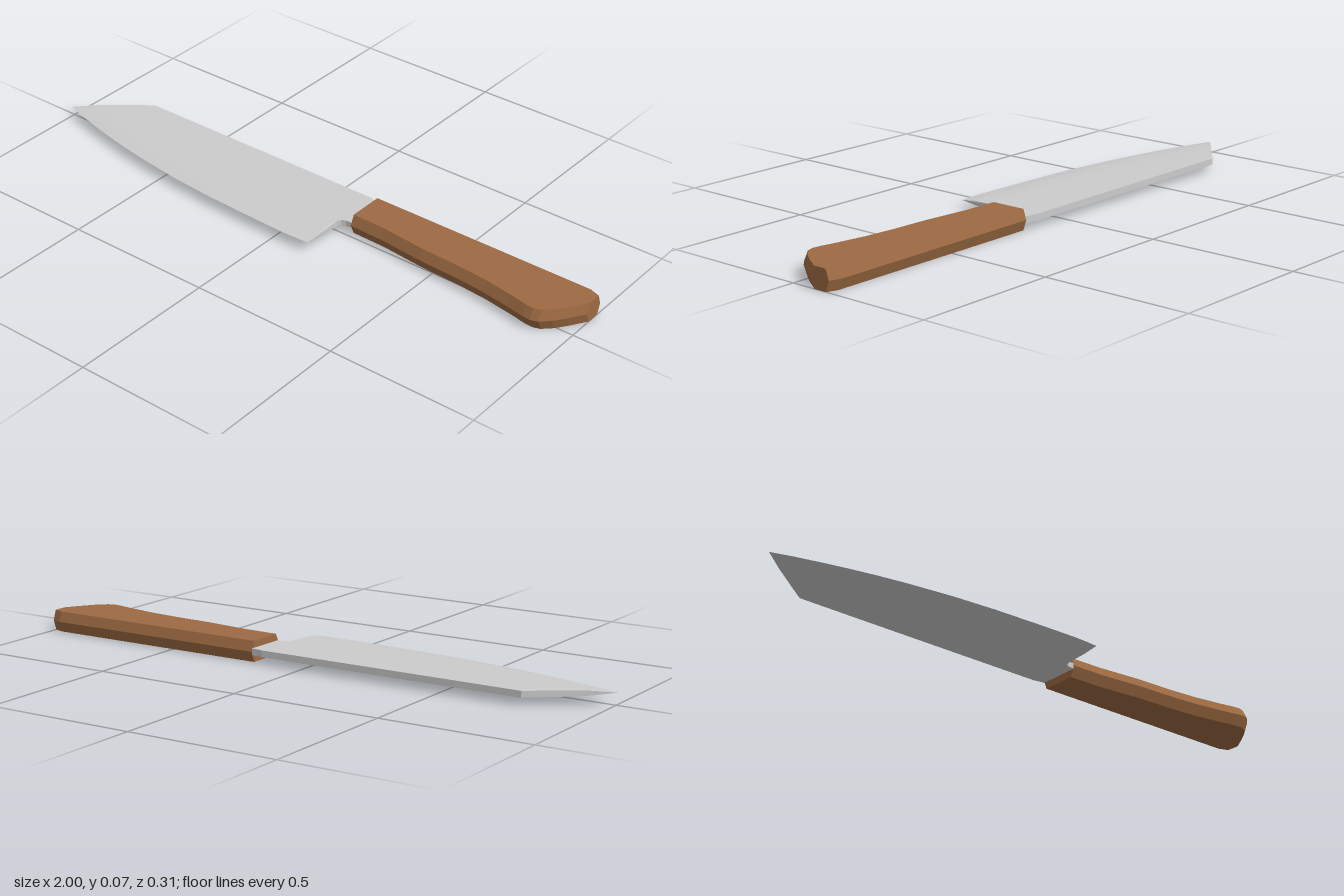
import * as THREE from 'three';

const MID = 0.035; // height of the blade plane and of the handle ridge

// Skins a row of equal-length cross-sections (each a list of [x, y, z]) and caps both ends.
function loft(name, sections, color) {
  const n = sections[0].length;
  const index = [];
  for (let i = 0; i < sections.length - 1; i++) {
    for (let j = 0; j < n; j++) {
      const k = (j + 1) % n;
      const a = i * n + j, b = i * n + k, c = a + n, d = b + n;
      index.push(a, b, d, a, d, c);
    }
  }
  const last = (sections.length - 1) * n;
  for (let j = 1; j < n - 1; j++) {
    index.push(0, j + 1, j, last, last + j, last + j + 1);
  }
  const indexed = new THREE.BufferGeometry();
  indexed.setAttribute('position', new THREE.Float32BufferAttribute(sections.flat(2), 3));
  indexed.setIndex(index);
  const geometry = indexed.toNonIndexed();
  geometry.computeVertexNormals();
  const mesh = new THREE.Mesh(geometry, new THREE.MeshStandardMaterial({ color, flatShading: true }));
  mesh.name = name;
  return mesh;
}

// Half thickness of the blade at a distance from its cutting edge.
function halfThickness(distance) {
  const profile = [[0, 0], [0.05, 0.007], [0.1, 0.0092], [0.32, 0.011]];
  for (let i = 1; i < profile.length; i++) {
    const [d0, h0] = profile[i - 1], [d1, h1] = profile[i];
    if (distance <= d1) return THREE.MathUtils.mapLinear(distance, d0, d1, h0, h1);
  }
  return 0.011;
}

function createBlade() {
  // x, spine z, cutting edge z, and where the steel stops (behind the heel)
  const stations = [
    [-1, 0.011, 0.011], [-0.93, -0.042, 0.033], [-0.85, -0.103, 0.054], [-0.775, -0.16, 0.072],
    [-0.68, -0.16, 0.092], [-0.58, -0.16, 0.109], [-0.42, -0.16, 0.13], [-0.27, -0.16, 0.142],
    [-0.1, -0.16, 0.149], [0.04, -0.16, 0.153], [0.1, -0.16, 0.151], [0.135, -0.16, 0.148],
    [0.14, -0.16, 0.148, 0.008], [0.147, -0.158, 0.148, -0.003], [0.16, -0.156, 0.148, -0.009],
    [0.18, -0.154, 0.148, -0.01], [0.19, -0.14, 0.148, -0.02], [0.26, -0.14, 0.148, -0.02],
  ];
  const rows = [0, 0.4, 0.65, 0.82, 0.93, 1];
  return loft('blade', stations.map(([x, spine, edge, stop = edge]) => {
    const side = (sign) => rows.map((s) => {
      const z = THREE.MathUtils.lerp(spine, stop, s);
      return [x, MID + sign * halfThickness(Math.max(0, edge - z)), z];
    });
    return [...side(1), ...side(-1).reverse()];
  }), 0xcccccc);
}

function createHandle() {
  // x, back ridge z, front ridge z
  const stations = [
    [0.18, -0.155, -0.007], [0.3, -0.155, -0.004], [0.38, -0.155, 0.004], [0.46, -0.155, 0.012],
    [0.6, -0.155, 0.018], [0.7, -0.155, 0.027], [0.8, -0.155, 0.043], [0.86, -0.155, 0.055],
    [0.885, -0.155, 0.057], [0.91, -0.155, 0.049], [0.94, -0.155, 0.02], [0.965, -0.155, -0.015],
    [1, -0.143, -0.07],
  ];
  // Six-sided section: flat top and bottom, ridge along both sides
  return loft('handle', stations.map(([x, back, front]) => [
    [x, MID, back], [x, 0.068, back + 0.012], [x, 0.068, front - 0.016],
    [x, MID, front], [x, 0, front - 0.016], [x, 0, back + 0.012],
  ]), 0x9c6a42);
}

export function createModel() {
  const knife = new THREE.Group();
  knife.name = 'knife';
  knife.add(createBlade(), createHandle());
  return knife;
}
